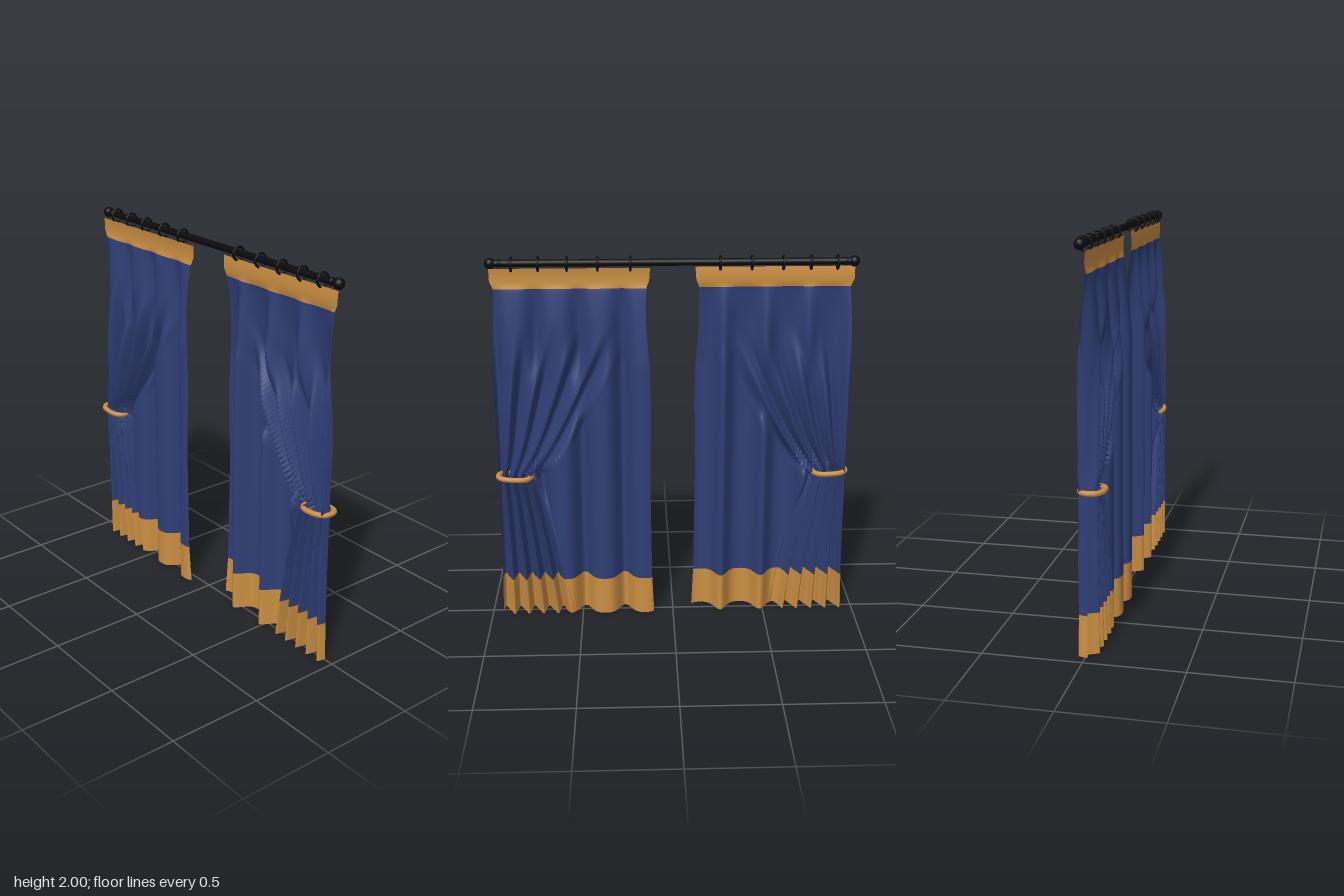
import * as THREE from 'three';

const mat = (name, color, side = THREE.FrontSide) => {
  const m = new THREE.MeshStandardMaterial({ color, side });
  m.name = name;
  return m;
};

// piecewise linear lookup through [y, value] pairs with rising y
function lookup(pairs, y) {
  for (let i = 1; i < pairs.length; i++) {
    const [y0, a] = pairs[i - 1], [y1, b] = pairs[i];
    if (y <= y1) return a + (b - a) * (y - y0) / (y1 - y0);
  }
  return pairs[pairs.length - 1][1];
}

const OUTER = [[0, 0.945], [0.21, 0.938], [0.8, 0.93], [1.2, 0.937], [1.45, 0.935], [1.7, 0.92], [1.83, 0.912], [1.87, 0.93], [1.935, 0.93]];
const INNER = [[0, 0.105], [0.21, 0.115], [0.8, 0.122], [1.2, 0.115], [1.4, 0.12], [1.65, 0.138], [1.83, 0.135], [1.87, 0.12], [1.935, 0.115]];
const TIE_Y = 0.81, HEM = 0.21, BAND = 1.83, TOP = 1.935;

// depth of the cloth: wide hanging pleats, blended with folds fanning out from the tie
function clothDepth(x, y, outer) {
  const s = outer - x;
  const wide = 2 * Math.PI * (x - 0.265) / 0.22;
  const pleat = Math.cos(wide + 0.6 * Math.sin(wide));
  const up = y > TIE_Y;
  const t = Math.abs(y - TIE_Y) / 0.81;
  const spread = 0.17 + (up ? 0.5 : 0.19) * Math.pow(t, 0.7);
  const q = s / spread;
  const tight = 2 * Math.PI * 4.5 * q;
  const fold = Math.sin(tight + 0.6 * Math.sin(tight));
  let mask = 1 - THREE.MathUtils.smoothstep(q, 0.9, 1.15);
  if (up) mask *= 1 - THREE.MathUtils.smoothstep(y, 1.15, 1.7);
  const amp = 0.047 * Math.pow(THREE.MathUtils.clamp((1.845 - y) / 0.42, 0, 1), 0.75);
  const belly = y > BAND ? 0.004 * Math.sin(Math.PI * (y - BAND) / (TOP - BAND)) : 0;
  return -0.004 + amp * THREE.MathUtils.lerp(pleat, fold, mask) + belly;
}

// one cloth sheet with hem, body and top band as material groups
function curtainGeometry() {
  const cols = 180;
  const bands = [[0, HEM, 10, 0], [HEM, BAND, 74, 1], [BAND, TOP, 8, 0]];
  const rows = [0];
  const geo = new THREE.BufferGeometry();
  let start = 0;
  for (const [y0, y1, n, m] of bands) {
    for (let i = 1; i <= n; i++) rows.push(y0 + (y1 - y0) * i / n);
    geo.addGroup(start, n * cols * 6, m);
    start += n * cols * 6;
  }
  const pos = [], index = [];
  rows.forEach((y, r) => {
    const a = lookup(INNER, y), b = lookup(OUTER, y);
    for (let c = 0; c <= cols; c++) {
      const x = a + (b - a) * c / cols;
      pos.push(x, y, clothDepth(x, y, b));
      if (r && c) {
        const k = r * (cols + 1) + c, d = k - cols - 1;
        index.push(d - 1, d, k, d - 1, k, k - 1);
      }
    }
  });
  geo.setAttribute('position', new THREE.Float32BufferAttribute(pos, 3));
  geo.setIndex(index);
  geo.computeVertexNormals();
  return geo;
}

// closed loop of cord, slightly tilted, around the gathered outer edge
function tieGeometry() {
  const pts = [];
  for (let i = 0; i < 20; i++) {
    const a = i / 20 * Math.PI * 2;
    const c = Math.cos(a), s = Math.sin(a);
    const x = 0.085 * Math.sign(c) * Math.pow(Math.abs(c), 0.8);
    pts.push(new THREE.Vector3(x, 0.06 * x, 0.056 * Math.sign(s) * Math.pow(Math.abs(s), 0.8)));
  }
  return new THREE.TubeGeometry(new THREE.CatmullRomCurve3(pts, true), 64, 0.014, 10, true);
}

export function createModel() {
  const root = new THREE.Group();
  root.name = 'curtains';
  const gold = mat('goldCloth', 0xcc8f42, THREE.DoubleSide);
  const blue = mat('blueCloth', 0x2f3f76, THREE.DoubleSide);
  const black = mat('blackMetal', 0x0a0a0c);

  const add = (parent, name, geo, material, x = 0, y = 0, z = 0) => {
    const mesh = new THREE.Mesh(geo, material);
    mesh.name = name;
    mesh.position.set(x, y, z);
    parent.add(mesh);
    return mesh;
  };

  // the two curtains are the same sheet, one turned half round
  const sheet = curtainGeometry(), tie = tieGeometry();
  for (const side of ['left', 'right']) {
    const panel = new THREE.Group();
    panel.name = side + 'Curtain';
    if (side === 'right') {
      panel.rotation.y = Math.PI;
      panel.position.z = 0.008;
    }
    add(panel, side + 'Cloth', sheet, [gold, blue]);
    add(panel, side + 'Tieback', tie, gold, 0.848, TIE_Y, -0.012);
    root.add(panel);
  }

  // rod with ball ends
  const rodY = 1.965, rodZ = -0.014;
  add(root, 'rod', new THREE.CylinderGeometry(0.018, 0.018, 1.84, 20), black, 0, rodY, rodZ).rotation.z = Math.PI / 2;
  const ball = new THREE.SphereGeometry(0.028, 20, 14);
  const collar = new THREE.SphereGeometry(0.021, 16, 12);
  for (const s of [-1, 1]) {
    add(root, 'finial', ball, black, s * 0.92, rodY, rodZ);
    add(root, 'finialCollar', collar, black, s * 0.876, rodY, rodZ);
  }

  // hanging rings
  const ring = new THREE.TorusGeometry(0.034, 0.006, 8, 28);
  for (const x of [-0.835, -0.7, -0.56, -0.4, -0.24, 0.215, 0.38, 0.535, 0.68, 0.815]) {
    add(root, 'ring', ring, black, x, 1.96, rodZ).rotation.y = Math.PI / 2;
  }
  return root;
}
